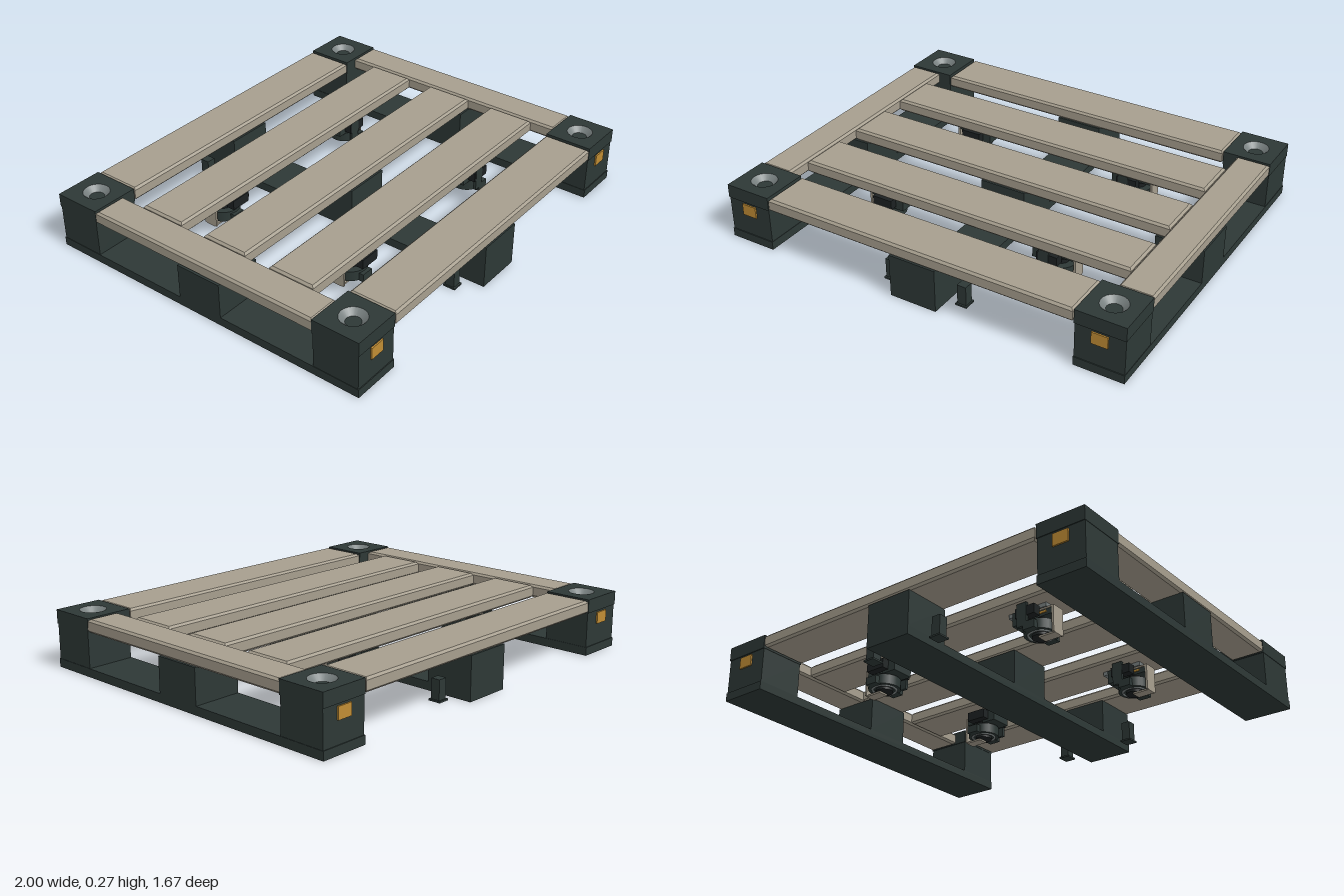
import * as THREE from 'three';

const mat = (name, color, extra = {}) => {
  const m = new THREE.MeshStandardMaterial({ color, ...extra });
  m.name = name;
  return m;
};

export function createModel() {
  const root = new THREE.Group();
  root.name = 'pallet';
  const dark = mat('dark composite', 0x2d3836);
  const beige = mat('beige board', 0xa69e8e);
  const grey = mat('grey socket', 0x788080, { side: THREE.DoubleSide });
  const amber = mat('amber reflector', 0xc08c34);
  const black = mat('black rubber', 0x1c2122);

  const add = (name, geo, material, parent = root) => {
    const mesh = new THREE.Mesh(geo, material);
    mesh.name = name;
    parent.add(mesh);
    return mesh;
  };
  // Box given by its limits on each axis
  const box = (name, x0, x1, y0, y1, z0, z1, material, parent) =>
    add(name, new THREE.BoxGeometry(x1 - x0, y1 - y0, z1 - z0)
      .translate((x0 + x1) / 2, (y0 + y1) / 2, (z0 + z1) / 2), material, parent);
  // Upright drum
  const drum = (name, r, y0, y1, x, z, material, parent, sides = 24) =>
    add(name, new THREE.CylinderGeometry(r, r, y1 - y0, sides)
      .translate(x, (y0 + y1) / 2, z), material, parent);
  const rect = (w, d) => new THREE.Shape([[-1, -1], [1, -1], [1, 1], [-1, 1]]
    .map(([a, b]) => new THREE.Vector2(a * w / 2, b * d / 2)));
  // Board with chamfered edges, lying flat
  const board = (name, x0, x1, z0, z1) => {
    const b = 0.01;
    const geo = new THREE.ExtrudeGeometry(rect(x1 - x0 - 2 * b, z1 - z0 - 2 * b), {
      depth: 0.062 - 2 * b, bevelEnabled: true, bevelSize: b, bevelThickness: b, bevelSegments: 1,
    });
    geo.rotateX(-Math.PI / 2).translate((x0 + x1) / 2, 0.205 + b, (z0 + z1) / 2);
    add(name, geo, beige);
  };

  // Deck boards
  for (const s of [-1, 1]) {
    board('endBoard', -0.765, 0.765, s * 0.715 - 0.115, s * 0.715 + 0.115);
    board('sideBoard', s * 0.918 - 0.08, s * 0.918 + 0.08, -0.6, 0.6);
  }
  for (const z of [-0.36, 0, 0.36]) board('slat', -0.835, 0.835, z - 0.115, z + 0.115);

  // Three skids with their spacer blocks
  for (const x of [-0.885, 0, 0.885]) {
    box('skid', x - 0.115, x + 0.115, 0, 0.04, -0.83, 0.83, dark);
    box('middleBlock', x - 0.115, x + 0.115, 0.04, 0.205, -0.115, 0.115, dark);
  }

  // Corner cap with a round opening
  const capShape = rect(0.23, 0.23);
  const hole = new THREE.Path();
  hole.absarc(0, 0, 0.06, 0, Math.PI * 2, true);
  capShape.holes.push(hole);
  const capGeo = new THREE.ExtrudeGeometry(capShape, { depth: 0.065, bevelEnabled: false, curveSegments: 12 })
    .rotateX(-Math.PI / 2);
  const socketGeo = new THREE.LatheGeometry(
    [[0.034, 0.245], [0.06, 0.27]].map(([r, y]) => new THREE.Vector2(r, y)), 24);

  for (const sz of [-1, 1]) {
    box('centreEndBlock', -0.115, 0.115, 0.04, 0.205, sz * 0.715 - 0.115, sz * 0.715 + 0.115, dark);
    for (const sx of [-1, 1]) {
      const corner = new THREE.Group();
      corner.name = 'corner';
      corner.position.set(sx * 0.885, 0, sz * 0.715);
      root.add(corner);
      box('cornerBlock', -0.113, 0.113, 0.04, 0.205, -0.111, 0.111, dark, corner);
      add('cornerCap', capGeo, dark, corner).position.y = 0.205;
      add('socketRim', socketGeo, grey, corner);
      drum('socketFloor', 0.06, 0.206, 0.245, 0, 0, dark, corner);
      box('reflector', -0.037, 0.037, 0.14, 0.195, sz * 0.114 - 0.004, sz * 0.114 + 0.004, amber, corner);

      // Short post beside the centre block
      const px = sx * 0.185;
      const pz = sz * 0.715;
      box('post', px - 0.022, px + 0.022, 0.008, 0.1, pz - 0.022, pz + 0.022, dark);
      box('postFoot', px - 0.028, px + 0.028, 0, 0.008, pz - 0.03, pz + 0.03, dark);

      // Sensor drum hung under the outer slats; built for +x and turned for -x
      const unit = new THREE.Group();
      unit.name = 'underUnit';
      unit.position.set(sx * 0.45, 0, sz * 0.365);
      if (sx < 0) unit.rotation.y = Math.PI;
      root.add(unit);
      box('mountPlate', -0.15, 0.05, 0.186, 0.205, -0.03, 0.03, grey, unit);
      box('upperHousing', -0.11, -0.035, 0.125, 0.19, -0.055, 0.055, dark, unit);
      box('upperArm', -0.04, 0.08, 0.145, 0.172, -0.03, 0.03, dark, unit);
      for (const z of [-0.07, 0.07]) {
        box('sideMotor', -0.07, 0.03, 0.137, 0.182, z - 0.02, z + 0.02, black, unit);
        box('sideLug', -0.03, 0.03, 0.07, 0.108, z - 0.022, z + 0.022, dark, unit);
      }
      box('sideHanger', -0.06, -0.01, 0.09, 0.2, 0.078, 0.092, dark, unit);
      drum('drum', 0.075, 0.072, 0.12, 0, 0, dark, unit);
      drum('drumCore', 0.04, 0.06, 0.14, 0, 0, black, unit);
      add('drumRing', new THREE.TorusGeometry(0.055, 0.006, 6, 24)
        .rotateX(Math.PI / 2).translate(0, 0.071, 0), grey, unit);
      // Strap folded around the outer side of the drum
      box('strapTop', -0.02, 0.088, 0.172, 0.18, -0.034, 0.034, beige, unit);
      box('strapSide', 0.08, 0.09, 0.055, 0.18, -0.034, 0.034, beige, unit);
      box('strapBottom', 0.005, 0.09, 0.052, 0.06, -0.025, 0.025, beige, unit);
      box('marker', 0.01, 0.05, 0.157, 0.166, 0.03, 0.034, amber, unit);
    }
  }
  return root;
}
